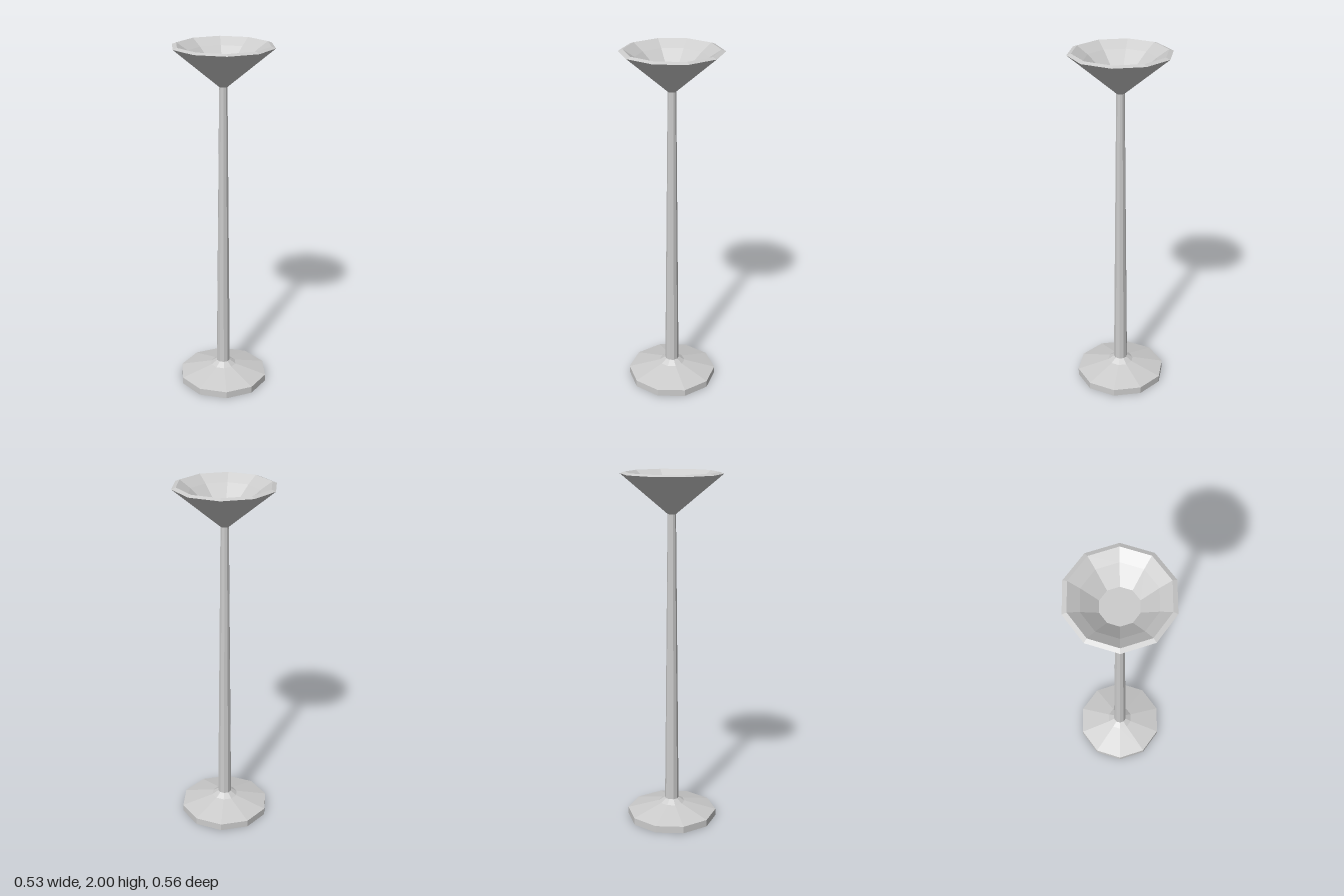
import * as THREE from 'three';

const SIDES = 10;

// Ten-sided faceted turning from [radius, height] pairs, listed bottom to top on the outside
function turned(name, profile, material) {
  const points = profile.map(([r, y]) => new THREE.Vector2(r, y));
  const mesh = new THREE.Mesh(new THREE.LatheGeometry(points, SIDES), material);
  mesh.name = name;
  return mesh;
}

export function createModel() {
  const lamp = new THREE.Group();
  lamp.name = 'floorLamp';
  const material = new THREE.MeshStandardMaterial({ color: 0xcccccc, flatShading: true });

  // Weighted foot: upright edge, shallow slope, small collar
  lamp.add(turned('base', [
    [0, 0], [0.258, 0], [0.258, 0.04], [0.075, 0.09], [0.04, 0.113], [0, 0.113],
  ], material));

  // Slim tapering pole
  lamp.add(turned('pole', [[0.04, 0.11], [0.023, 1.785]], material));

  // Uplight bowl: outer cone, bevelled rim, then the inside down to its flat floor
  lamp.add(turned('shade', [
    [0, 1.775], [0.023, 1.775], [0.27, 1.982], [0.281, 1.991], [0.257, 2],
    [0.195, 1.96], [0.103, 1.885], [0, 1.885],
  ], material));

  return lamp;
}
